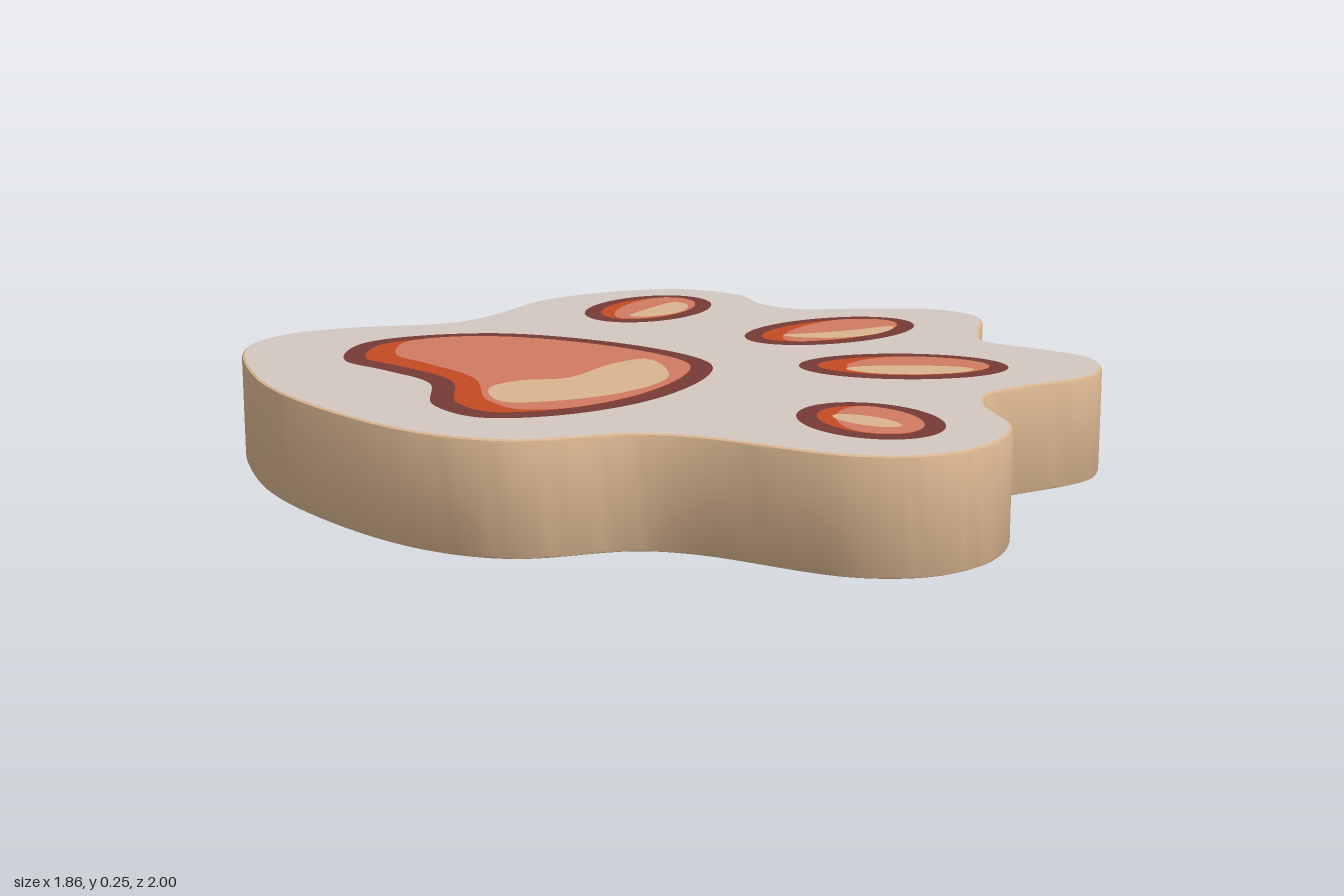
import * as THREE from 'three';
import { toCreasedNormals } from 'three/addons/utils/BufferGeometryUtils.js';

const TOP = 0.24;
const BEVEL = 0.007;

const material = (name, color) => {
  const m = new THREE.MeshStandardMaterial({ color });
  m.name = name;
  return m;
};

// Smooth closed loop through [x, z] pairs, as 2D points with y = -z
function loop(pairs, samples) {
  const curve = new THREE.CatmullRomCurve3(pairs.map(([x, z]) => new THREE.Vector3(x, -z, 0)), true);
  return curve.getPoints(samples).slice(0, -1).map((p) => new THREE.Vector2(p.x, p.y));
}

// Ellipse turned by an angle in degrees, with its two ends bent sideways
function oval(x, z, a, b, degrees, bend = 0) {
  const turn = THREE.MathUtils.degToRad(degrees);
  return Array.from({ length: 64 }, (_, i) => {
    const t = (i / 64) * Math.PI * 2;
    const p = new THREE.Vector2(a * Math.cos(t), b * Math.sin(t) + bend * Math.cos(t) ** 2);
    p.rotateAround(new THREE.Vector2(), turn);
    return new THREE.Vector2(x + p.x, -z - p.y);
  });
}

// Move a loop inwards along its normals
function inset(points, distance) {
  const side = Math.sign(THREE.ShapeUtils.area(points)) * distance;
  return points.map((p, i) => {
    const t = points[(i + 1) % points.length].clone().sub(points.at(i - 1)).normalize();
    return new THREE.Vector2(p.x - t.y * side, p.y + t.x * side);
  });
}

// Squeeze the part of a loop lying behind a centre, leaving a crescent on that side
function squeeze(points, centre, direction, amount) {
  return points.map((p) => {
    const behind = Math.min(0, p.clone().sub(centre).dot(direction));
    return p.clone().addScaledVector(direction, -behind * amount);
  });
}

// Paw silhouette seen from above
const OUTLINE = [
  [0.23, -1.0], [0.42, -0.955], [0.515, -0.81], [0.51, -0.65], [0.56, -0.55], [0.72, -0.49], [0.88, -0.405],
  [0.925, -0.27], [0.81, -0.07], [0.765, 0.03], [0.84, 0.185], [0.88, 0.31], [0.78, 0.475], [0.47, 0.55],
  [0.395, 0.64], [0.34, 0.84], [0.22, 0.96], [0.08, 0.998], [-0.07, 0.94], [-0.28, 0.675], [-0.38, 0.605],
  [-0.62, 0.56], [-0.77, 0.41], [-0.9, 0.05], [-0.93, -0.25], [-0.86, -0.62], [-0.74, -0.73],
  [-0.59, -0.755], [-0.33, -0.72], [-0.21, -0.775], [0.0, -0.945],
];

const MAIN_PAD = [
  [-0.47, -0.57], [-0.61, -0.525], [-0.7, -0.34], [-0.65, -0.2], [-0.6, -0.03], [-0.66, 0.2],
  [-0.61, 0.35], [-0.45, 0.395], [-0.23, 0.335], [-0.015, 0.15], [0.05, 0], [-0.025, -0.25], [-0.25, -0.515],
];
const MAIN_SHINE = [
  [-0.07, -0.07], [-0.1, 0.13], [-0.21, 0.23], [-0.37, 0.275], [-0.52, 0.24], [-0.5, 0.09],
  [-0.42, 0.045], [-0.315, 0.06], [-0.16, -0.05],
];

// Toe pads: rim oval and highlight oval as x, z, half length, half width, angle, bend
const TOES = [
  { name: 'backToePad', rim: [0.203, -0.704, 0.215, 0.148, -41], shine: [0.225, -0.65, 0.122, 0.047, -38, -0.025] },
  { name: 'middleBackToePad', rim: [0.487, -0.235, 0.242, 0.153, -15], shine: [0.495, -0.162, 0.15, 0.04, 0, -0.045] },
  { name: 'middleFrontToePad', rim: [0.432, 0.228, 0.235, 0.148, 25], shine: [0.418, 0.285, 0.142, 0.05, 25, -0.01] },
  { name: 'frontToePad', rim: [0.099, 0.689, 0.178, 0.139, 88], shine: [0.085, 0.7, 0.082, 0.037, 65] },
];

export function createModel() {
  const tan = material('tan', 0xd9b590);
  const grey = material('warmGrey', 0xd3c8c0);
  const maroon = material('maroon', 0x753b35);
  const orange = material('burntOrange', 0xc44b22);
  const salmon = material('salmon', 0xd07a62);

  const model = new THREE.Group();
  model.name = 'pawPlaque';

  // Flat painted layer lying on the top; higher levels cover lower ones
  const layer = (parent, name, points, level, mat) => {
    const geo = new THREE.ShapeGeometry(new THREE.Shape(points)).rotateX(-Math.PI / 2);
    const mesh = new THREE.Mesh(geo, mat);
    mesh.name = name;
    mesh.position.y = TOP + level * 0.001;
    parent.add(mesh);
  };

  // Pad: dark rim, shaded base, lit face and highlight
  const addPad = (name, rim, border, centre, direction, amount, shine) => {
    const pad = new THREE.Group();
    pad.name = name;
    const base = inset(rim, border);
    layer(pad, 'rim', rim, 2, maroon);
    layer(pad, 'shade', base, 3, orange);
    layer(pad, 'face', squeeze(base, centre, direction, amount), 4, salmon);
    layer(pad, 'highlight', shine, 5, tan);
    model.add(pad);
  };

  // Thick body with a fine bevel
  const outline = loop(OUTLINE, 240);
  const bodyGeo = new THREE.ExtrudeGeometry(new THREE.Shape(outline), {
    depth: TOP - 2 * BEVEL, bevelSize: BEVEL, bevelThickness: BEVEL, bevelOffset: -BEVEL, bevelSegments: 2,
  });
  bodyGeo.rotateX(-Math.PI / 2).translate(0, BEVEL, 0);
  const body = new THREE.Mesh(toCreasedNormals(bodyGeo, 0.6), tan);
  body.name = 'body';
  model.add(body);

  layer(model, 'topSurface', inset(outline, BEVEL), 1, grey);

  // Main pad, shaded along its left edge
  addPad('mainPad', loop(MAIN_PAD, 100), 0.05, new THREE.Vector2(-0.3, 0), new THREE.Vector2(1, 0), 0.21,
    loop(MAIN_SHINE, 60));

  // Toe pads, shaded towards the back left
  const slant = new THREE.Vector2(0.8, -0.6);
  for (const { name, rim, shine } of TOES) {
    addPad(name, oval(...rim), 0.042, new THREE.Vector2(rim[0], -rim[1]), slant, 0.35, oval(...shine));
  }
  return model;
}
